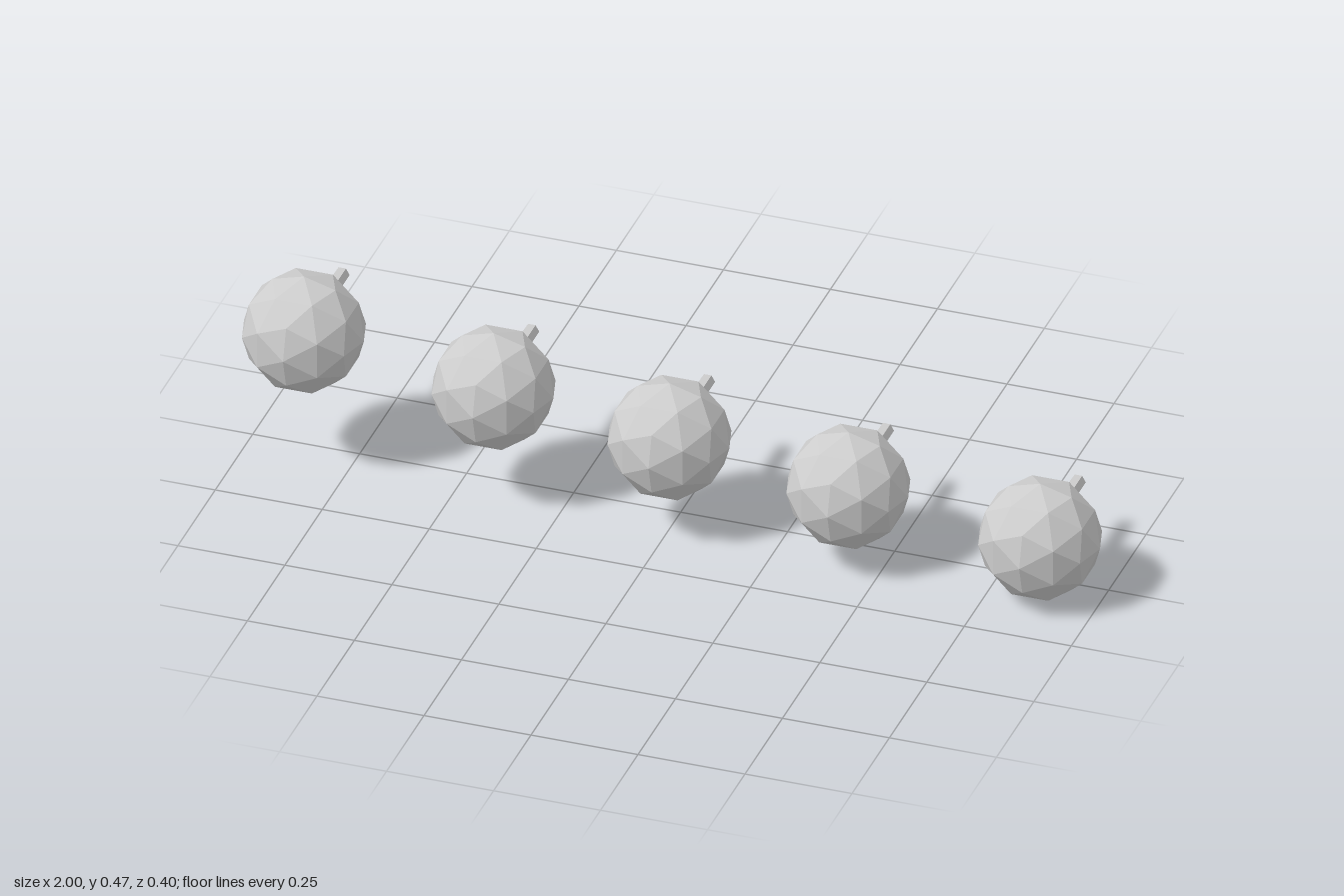
import * as THREE from 'three';

export function createModel() {
  const group = new THREE.Group();
  const grey = new THREE.MeshStandardMaterial({ color: 0xcccccc, flatShading: true });
  grey.name = 'light grey';

  const radius = 0.14, ballZ = 0.058, stemEnd = -0.198;
  const ballGeometry = new THREE.IcosahedronGeometry(radius, 1);

  // Six-sided stem along z, with corners pointing left and right
  const stemLength = ballZ - stemEnd;
  const stemGeometry = new THREE.CylinderGeometry(0.0173, 0.0173, stemLength, 6);
  stemGeometry.rotateY(Math.PI / 6).rotateX(Math.PI / 2);

  // Descending row of knobs: [x, y] of each centre
  const centres = [[-0.86, 0.329], [-0.417, 0.272], [-0.006, 0.225], [0.412, 0.183], [0.86, 0.14]];
  centres.forEach(([x, y], i) => {
    const knob = new THREE.Group();
    knob.name = `knob${i + 1}`;
    knob.position.set(x, y, ballZ);

    const ball = new THREE.Mesh(ballGeometry, grey);
    ball.name = 'ball';
    const stem = new THREE.Mesh(stemGeometry, grey);
    stem.name = 'stem';
    stem.position.z = -stemLength / 2;
    knob.add(ball, stem);
    group.add(knob);
  });
  return group;
}
